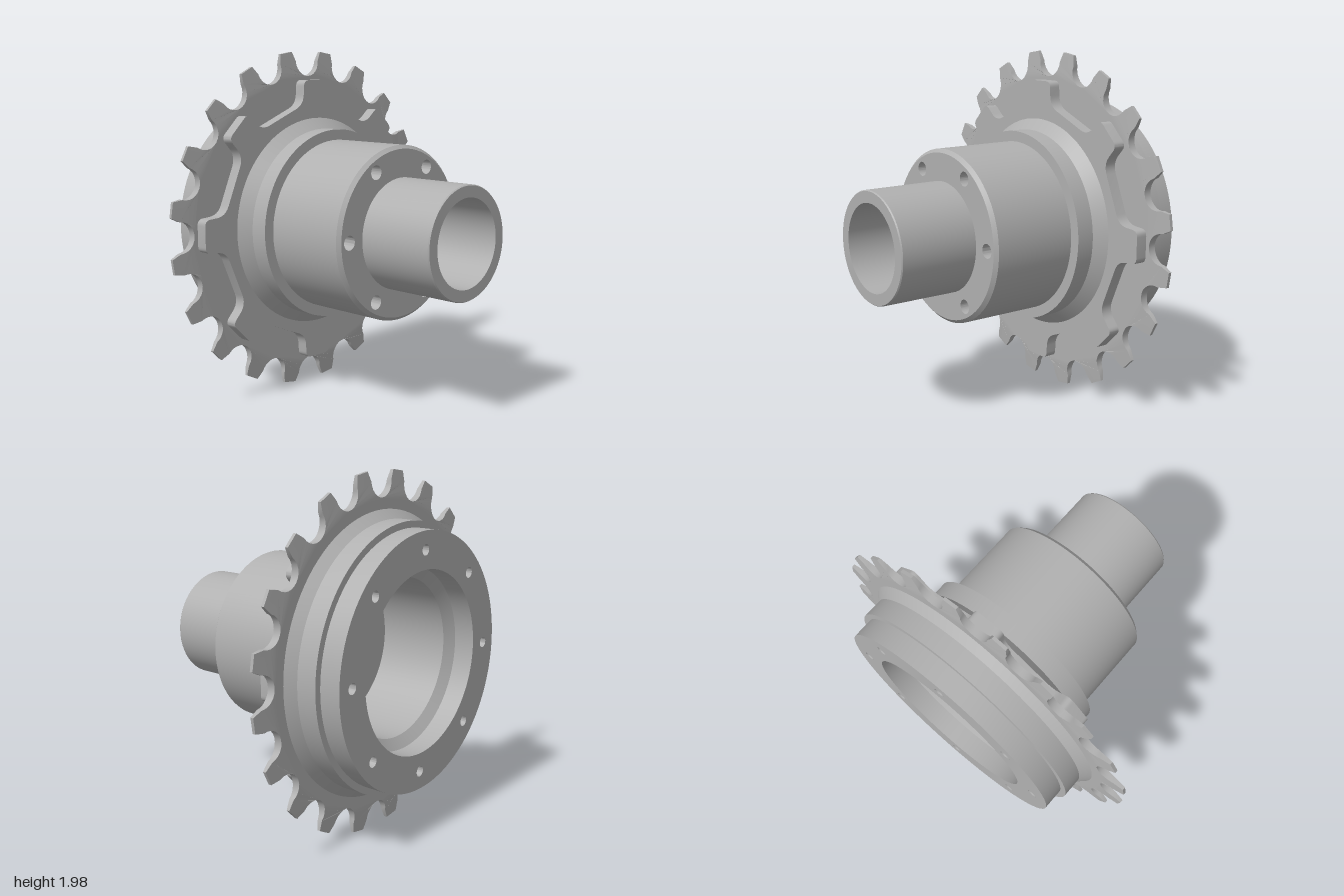
import * as THREE from 'three';
import { toCreasedNormals } from 'three/addons/utils/BufferGeometryUtils.js';

const steel = new THREE.MeshStandardMaterial({ color: 0xb0b0b0 });
steel.name = 'machined steel';

// Part turned about the x axis; points are [radius, x]
function turned(name, points) {
  const g = new THREE.LatheGeometry(points.map(([r, x]) => new THREE.Vector2(r, x)), 96);
  g.rotateZ(-Math.PI / 2);
  const mesh = new THREE.Mesh(toCreasedNormals(g, 0.35), steel);
  mesh.name = name;
  return mesh;
}

// Plate cut from a shape, spanning x0 to x1
function plate(name, shape, x0, x1, adjust) {
  let g = new THREE.ExtrudeGeometry(shape, { depth: x1 - x0, bevelEnabled: false, curveSegments: 48 });
  if (adjust) adjust(g.attributes.position);
  g.rotateY(Math.PI / 2);
  g.translate(x0, 0, 0);
  g = toCreasedNormals(g, 0.35);
  const mesh = new THREE.Mesh(g, steel);
  mesh.name = name;
  return mesh;
}

function hole(shape, x, y, r) {
  shape.holes.push(new THREE.Path().absarc(x, y, r, 0, Math.PI * 2, true));
}

// Ring with a circle of bolt holes, first hole at angle start
function boltRing(outer, inner, count, pitch, r, start) {
  const s = new THREE.Shape().absarc(0, 0, outer, 0, Math.PI * 2, false);
  hole(s, 0, 0, inner);
  for (let i = 0; i < count; i++) {
    const a = start + (i / count) * Math.PI * 2;
    hole(s, Math.cos(a) * pitch, Math.sin(a) * pitch, r);
  }
  return s;
}

// Point (side, out) turned by angle a
const turn = (side, out, a) => new THREE.Vector2(
  side * Math.cos(a) - out * Math.sin(a), side * Math.sin(a) + out * Math.cos(a));

// Twenty teeth separated by round roller seats
function toothShape() {
  const pts = [], n = 20;
  for (let i = 0; i < n; i++) {
    const a = (i / n) * Math.PI * 2;
    pts.push(turn(0.113, 0.992, a));
    for (let k = 0; k <= 12; k++) {
      const t = -(k / 12) * Math.PI;
      pts.push(turn(0.088 * Math.cos(t), 0.94 + 0.088 * Math.sin(t), a));
    }
    pts.push(turn(-0.113, 0.992, a));
  }
  const s = new THREE.Shape(pts);
  hole(s, 0, 0, 0.845);
  return s;
}

// Eight rounded lugs around the carrier
function lugShape() {
  const corners = [];
  for (let i = 0; i < 8; i++) {
    const a = (i / 8) * Math.PI * 2;
    corners.push([turn(0.1, 0.69, a), 0.06], [turn(0.092, 0.83, a), 0.035],
      [turn(-0.092, 0.83, a), 0.035], [turn(-0.1, 0.69, a), 0.06]);
  }
  const s = new THREE.Shape(), n = corners.length;
  corners.forEach(([p, f], i) => {
    const towards = (q) => p.clone().add(q.clone().sub(p).setLength(f));
    const a = towards(corners[(i + n - 1) % n][0]);
    const b = towards(corners[(i + 1) % n][0]);
    if (i) s.lineTo(a.x, a.y); else s.moveTo(a.x, a.y);
    for (let k = 1; k <= 6; k++) {
      const t = k / 6, u = 1 - t;
      s.lineTo(u * u * a.x + 2 * u * t * p.x + t * t * b.x, u * u * a.y + 2 * u * t * p.y + t * t * b.y);
    }
  });
  s.closePath();
  hole(s, 0, 0, 0.61);
  return s;
}

// Teeth get thinner towards their tips
function thinTips(pos) {
  const mid = 0.022;
  for (let i = 0; i < pos.count; i++) {
    const r = Math.hypot(pos.getX(i), pos.getY(i));
    const k = 1 - 0.6 * THREE.MathUtils.clamp((r - 0.87) / 0.13, 0, 1);
    pos.setZ(i, mid + (pos.getZ(i) - mid) * k);
  }
}

export function createModel() {
  const model = new THREE.Group();
  model.name = 'sprocketHub';
  model.add(
    // Back flange and carrier
    plate('backFlange', boltRing(0.705, 0.5, 8, 0.604, 0.03, Math.PI / 2), -0.768, -0.65),
    turned('backCarrier', [[0.5, -0.65], [0.742, -0.65], [0.742, -0.535], [0.79, -0.487]]),
    // Sprocket
    turned('sprocketDisc', [[0.74, -0.487], [0.845, -0.487], [0.845, -0.443], [0.6, -0.443]]),
    plate('sprocketTeeth', toothShape(), -0.487, -0.443, thinTips),
    plate('lugRing', lugShape(), -0.443, -0.375),
    // Barrel with blind bolt holes in its front face
    turned('hubBarrel', [[0.61, -0.375], [0.55, -0.315], [0.55, -0.21], [0.49, -0.21],
      [0.49, 0.283], [0.47, 0.303]]),
    plate('barrelFace', boltRing(0.47, 0.3, 6, 0.41, 0.04, 0), 0.18, 0.303),
    turned('boltHoleFloor', [[0.47, 0.185], [0.31, 0.185]]),
    // Sleeve and stepped bore
    turned('sleeve', [[0.313, 0.18], [0.313, 0.757], [0.308, 0.764], [0.245, 0.764], [0.245, -0.2]]),
    turned('innerBore', [[0.245, -0.2], [0.44, -0.2], [0.44, -0.61], [0.5, -0.65]]),
  );
  model.position.y = 1;
  const group = new THREE.Group();
  group.add(model);
  return group;
}
